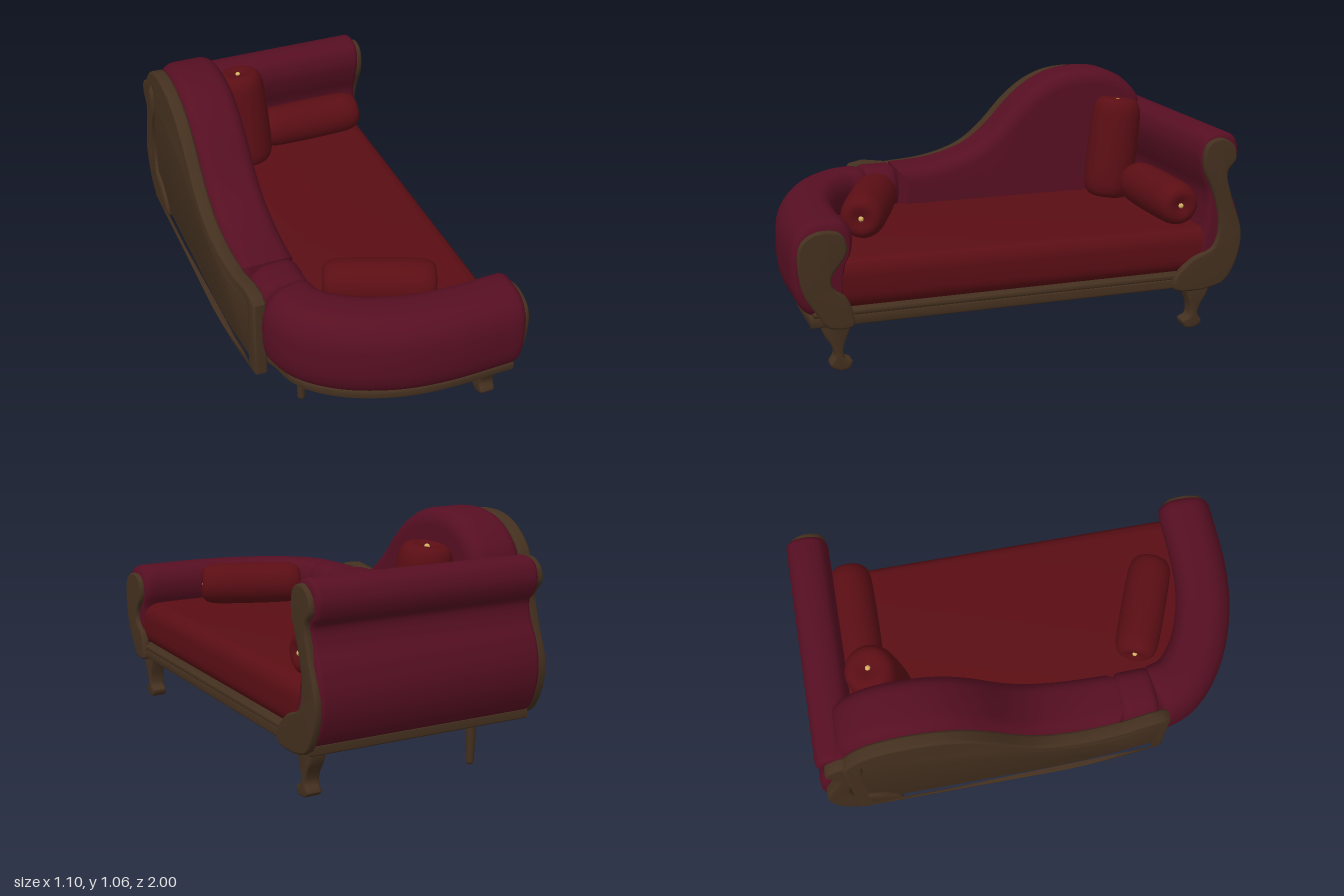
import * as THREE from 'three';
import { toCreasedNormals } from 'three/addons/utils/BufferGeometryUtils.js';

const velvet = new THREE.MeshStandardMaterial({ color: 0x560f22 });
const red = new THREE.MeshStandardMaterial({ color: 0x5a0e14 });
const wood = new THREE.MeshStandardMaterial({ color: 0x44301f });
const gold = new THREE.MeshStandardMaterial({ color: 0xd4b060 });

const V2 = (x, y) => new THREE.Vector2(x, y);

// Smooth curve through a few 2D points
function smooth(pts, n, closed = true) {
  const curve = new THREE.CatmullRomCurve3(pts.map(([a, b]) => new THREE.Vector3(a, b, 0)), closed);
  const out = curve.getPoints(n).map(p => [p.x, p.y]);
  if (closed) out.pop();
  return out;
}

function extrude(pts, depth, bevel, hole) {
  const shape = new THREE.Shape(pts.map(p => V2(...p)));
  if (hole) shape.holes.push(new THREE.Path(hole.map(p => V2(...p))));
  const geo = new THREE.ExtrudeGeometry(shape, {
    depth: depth - 2 * bevel, bevelEnabled: true, bevelSize: bevel, bevelThickness: bevel,
    bevelOffset: -bevel, bevelSegments: 5, steps: 1,
  });
  return geo.translate(0, 0, bevel);
}

// Side profile [z, y] extruded across x
function acrossX(pts, x0, x1, bevel, hole) {
  const flip = list => list && list.map(([z, y]) => [-z, y]);
  const geo = extrude(flip(pts), x1 - x0, bevel, flip(hole)).rotateY(Math.PI / 2).translate(x0, 0, 0);
  return toCreasedNormals(geo, 0.7);
}

// Plan outline [x, z] extruded upwards
function upwards(pts, y0, y1, bevel) {
  const geo = extrude(pts.map(([x, z]) => [x, -z]), y1 - y0, bevel).rotateX(-Math.PI / 2).translate(0, y0, 0);
  return toCreasedNormals(geo, 0.7);
}

// Moves a closed outline inwards (clockwise or not, chosen by the sign of d)
function inset(pts, d) {
  return pts.map((p, i) => {
    const a = pts[(i + pts.length - 1) % pts.length], b = pts[(i + 1) % pts.length];
    const t = V2(b[0] - a[0], b[1] - a[1]).normalize();
    return [p[0] - t.y * d, p[1] + t.x * d];
  });
}

// Plan centre line of the curved arm
const armLine = new THREE.CatmullRomCurve3(
  [[-0.36, 0.52], [-0.32, 0.64], [-0.2, 0.75], [0, 0.835], [0.2, 0.866], [0.53, 0.862]]
    .map(([x, z]) => new THREE.Vector3(x, 0, z)));
const cornerLine = new THREE.LineCurve3(new THREE.Vector3(-0.365, 0, 0.36), new THREE.Vector3(-0.36, 0, 0.525));

// Padded arm section [outward, y]
const armSection = smooth([[0.06, 0.26], [0.115, 0.33], [0.13, 0.45], [0.115, 0.57], [0.06, 0.635], [-0.02, 0.65],
  [-0.085, 0.64], [-0.12, 0.59], [-0.12, 0.52], [-0.09, 0.45], [-0.06, 0.26]], 44);

function sweepArm(curve, steps, round) {
  const rings = [[0, 0], [0, 0.86], [round * 0.35, 0.95], [round, 1]];
  for (let i = 1; i < steps; i++) rings.push([round + (1 - 2 * round) * i / steps, 1]);
  rings.push([1 - round, 1], [1 - round * 0.35, 0.95], [1, 0.86], [1, 0]);
  const pos = [], idx = [], m = armSection.length;
  rings.forEach(([t, s], i) => {
    const p = curve.getPointAt(t), g = curve.getTangentAt(t);
    armSection.forEach(([d, y], j) => {
      pos.push(p.x - g.z * d * s, 0.455 + (y - 0.455) * s, p.z + g.x * d * s);
      if (i === rings.length - 1) return;
      const a = i * m + j, a2 = i * m + (j + 1) % m;
      idx.push(a, a + m, a2, a + m, a2 + m, a2);
    });
  });
  const geo = new THREE.BufferGeometry();
  geo.setAttribute('position', new THREE.Float32BufferAttribute(pos, 3));
  geo.setIndex(idx);
  return toCreasedNormals(geo, 0.7);
}

// Plan outline that follows the curved arm at a given offset
function plan(offset, xBack, xFront, zBack) {
  const pts = [[xBack, zBack], [xFront, zBack]];
  for (let i = 30; i >= 0; i--) {
    const p = armLine.getPointAt(i / 30), g = armLine.getTangentAt(i / 30);
    pts.push([i === 30 ? xFront : p.x - g.z * offset, p.z + g.x * offset]);
  }
  pts.push([xBack, 0.35]);
  return pts;
}

// Bolster with dimpled ends and gold buttons
function bolster(name, r, length, centre, direction) {
  const h = length / 2;
  const end = [[0, h - 0.015], [0.2 * r, h - 0.008], [0.55 * r, h], [0.8 * r, h - 0.012], [0.95 * r, h - 0.045], [r, h - 0.1]];
  const half = smooth([...end, [r * 1.02, 0]], 24, false);
  const pts = [...half.map(([x, y]) => V2(Math.max(x, 0), -y)), ...half.slice(0, -1).reverse().map(([x, y]) => V2(Math.max(x, 0), y))];
  const group = new THREE.Group();
  group.name = name;
  const body = new THREE.Mesh(new THREE.LatheGeometry(pts, 32), red);
  body.name = name + 'Body';
  group.add(body);
  for (const s of [-1, 1]) {
    const button = new THREE.Mesh(new THREE.SphereGeometry(0.012, 12, 8), gold);
    button.name = 'button';
    button.position.y = s * (h - 0.012);
    group.add(button);
  }
  group.position.set(...centre);
  group.quaternion.setFromUnitVectors(new THREE.Vector3(0, 1, 0), new THREE.Vector3(...direction).normalize());
  return group;
}

export function createModel() {
  const model = new THREE.Group();
  model.name = 'chaiseLounge';
  const add = (name, geo, mat) => {
    const mesh = new THREE.Mesh(geo, mat);
    mesh.name = name;
    model.add(mesh);
    return mesh;
  };

  // Base frame and seat
  add('baseRail', upwards(plan(0.06, -0.5, 0.53, -0.92), 0.205, 0.25, 0.008), wood);
  add('upperRail', upwards(plan(0.05, -0.49, 0.535, -0.91), 0.248, 0.272, 0.008), wood);
  add('seat', upwards(plan(-0.03, -0.36, 0.525, -0.86), 0.262, 0.475, 0.07), red);

  // Humped backrest
  const crest = smooth([[0.36, 0.64], [0.2, 0.65], [0.08, 0.675], [-0.02, 0.715], [-0.12, 0.79], [-0.25, 0.925],
    [-0.35, 1.0], [-0.45, 1.043], [-0.57, 1.06], [-0.68, 1.05], [-0.77, 1.01], [-0.85, 0.93], [-0.88, 0.85]], 50, false);
  add('backrest', acrossX([...crest, [-0.88, 0.26], [0.36, 0.26]], -0.495, -0.245, 0.065), velvet);

  // Curved arm and the small corner pad joining it to the backrest
  add('curvedArm', sweepArm(armLine, 36, 0.03), velvet);
  add('cornerPad', sweepArm(cornerLine, 4, 0.15), velvet);

  // Rolled arm
  const rolled = smooth([[-0.8, 0.26], [-0.83, 0.5], [-0.835, 0.62], [-0.805, 0.71], [-0.79, 0.8], [-0.815, 0.87], [-0.88, 0.893],
    [-0.945, 0.875], [-0.972, 0.81], [-0.955, 0.745], [-0.925, 0.71], [-0.935, 0.64], [-0.975, 0.56], [-1.0, 0.45],
    [-0.985, 0.34], [-0.93, 0.25]], 80);
  add('rolledArm', acrossX(rolled, -0.5, 0.53, 0.025), velvet);

  // Carved end facings
  const curvedFacing = smooth([[0.968, 0.525], [0.945, 0.58], [0.877, 0.612], [0.79, 0.595], [0.77, 0.52], [0.834, 0.42],
    [0.83, 0.375], [0.775, 0.326], [0.75, 0.257], [0.75, 0.205], [0.85, 0.205], [0.9, 0.27], [0.952, 0.364]], 70);
  const rolledFacing = smooth([[-0.813, 0.845], [-0.877, 0.872], [-0.94, 0.835], [-0.952, 0.775], [-0.914, 0.72], [-0.94, 0.604],
    [-0.993, 0.444], [-0.973, 0.31], [-0.904, 0.214], [-0.68, 0.205], [-0.68, 0.257], [-0.76, 0.337], [-0.86, 0.385],
    [-0.885, 0.487], [-0.85, 0.63], [-0.8, 0.749]], 80);
  add('curvedArmFacing', acrossX(curvedFacing, 0.515, 0.55, 0.01), wood);
  add('rolledArmFacing', acrossX(rolledFacing, 0.515, 0.55, 0.01), wood);
  add('rearScroll', acrossX(rolledFacing.map(([z, y]) => [z + 0.015, y + 0.01]), -0.545, -0.49, 0.01), wood);

  // Framed rear panel, bending inwards towards the curved arm
  const bottom = [];
  for (let i = 0; i <= 12; i++) bottom.push([-0.86 + 1.42 * i / 12, 0.215]);
  const outline = [[0.565, 0.6], [0.535, 0.63], [0.47, 0.64], ...crest.map(([z, y]) => [z < 0 ? z * 0.98 : z, y - 0.018]), ...bottom];
  const bend = geo => {
    const p = geo.attributes.position;
    for (let i = 0; i < p.count; i++) {
      const k = Math.max(0, p.getZ(i) / 0.57);
      p.setX(i, p.getX(i) + 0.04 * k * k);
    }
    return toCreasedNormals(geo, 0.7);
  };
  add('rearFrame', bend(acrossX(outline, -0.55, -0.49, 0.012, inset(outline, 0.05))), wood);
  add('rearPanel', bend(acrossX(inset(outline, 0.03), -0.53, -0.49, 0.004)), wood);

  // Scrolled front legs, mirrored
  const scrollLeg = smooth([[0.87, 0.215], [0.865, 0.16], [0.835, 0.11], [0.822, 0.065], [0.842, 0.025], [0.81, 0.002],
    [0.765, 0.004], [0.75, 0.035], [0.782, 0.055], [0.785, 0.1], [0.768, 0.15], [0.75, 0.215]], 48);
  for (const s of [1, -1]) {
    add('scrolledLeg', acrossX(scrollLeg.map(([z, y]) => [z * s, y]), 0.433, 0.502, 0.01), wood);
  }

  // Tapered rear legs
  for (const z of [0.555, -0.8]) {
    const pts = [[0, 0], [0.012, 0.002], [0.017, 0.015], [0.024, 0.22]].map(p => V2(...p));
    add('taperedLeg', new THREE.LatheGeometry(pts, 16), wood).position.set(-0.302, 0, z);
  }

  // Bolsters
  model.add(bolster('uprightBolster', 0.115, 0.47, [-0.125, 0.705, -0.66], [-0.03, 0.47, -0.06]));
  model.add(bolster('rolledArmBolster', 0.098, 0.5, [0.235, 0.565, -0.73], [1, 0, 0]));
  model.add(bolster('curvedArmBolster', 0.098, 0.48, [0.05, 0.57, 0.565], [0.43, 0, 0.17]));
  return model;
}
